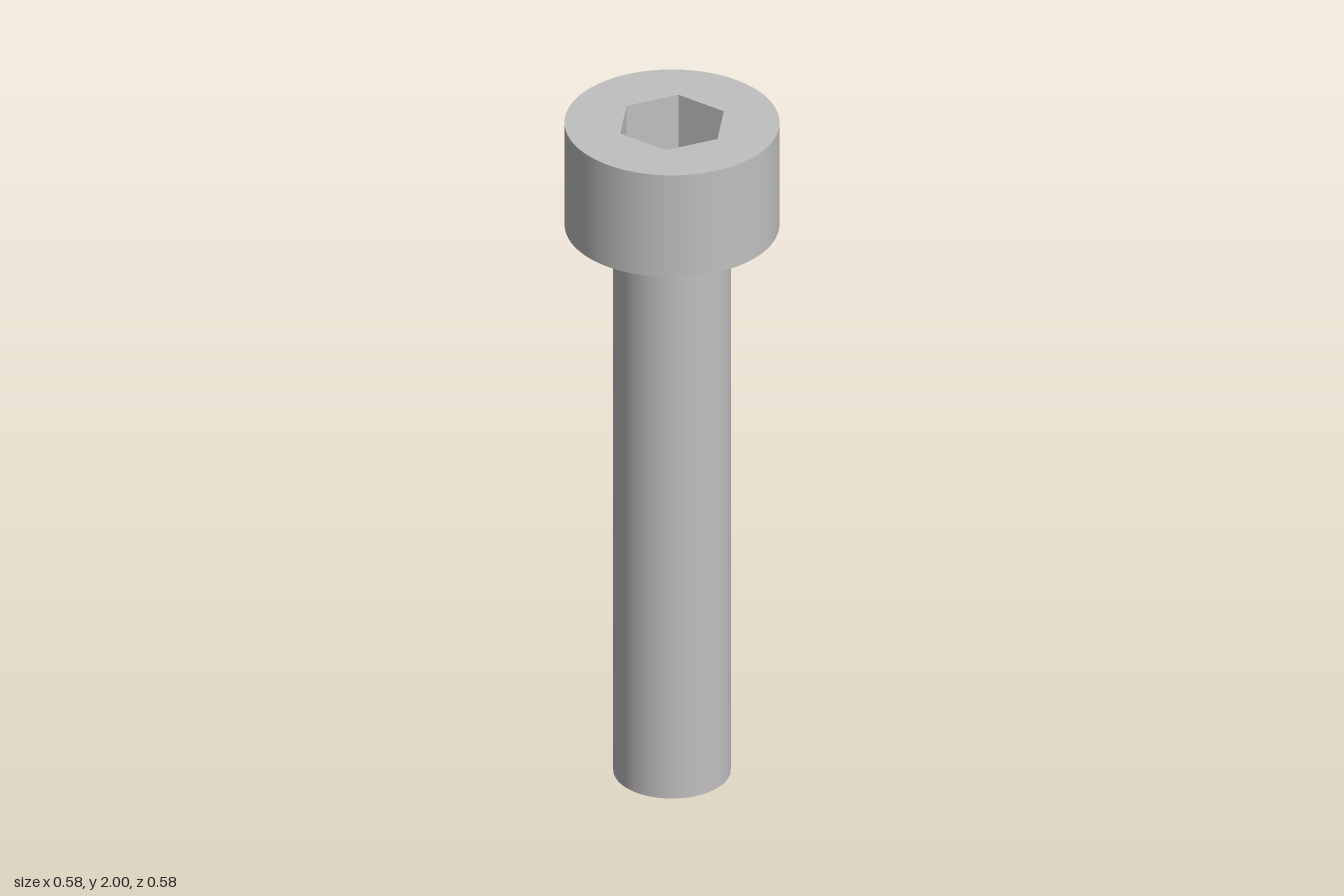
import * as THREE from 'three';

const HEAD_R = 0.289, SHANK_R = 0.158, HEX_R = 0.152;
const TOP = 2, HEAD_BASE = 1.685, SOCKET_DEPTH = 0.18, SEGMENTS = 96;

export function createModel() {
  const group = new THREE.Group();
  const steel = new THREE.MeshStandardMaterial({ color: 0xc0c0c0 });
  steel.name = 'steel grey';

  const add = (name, geometry, y) => {
    const mesh = new THREE.Mesh(geometry, steel);
    mesh.name = name;
    mesh.position.y = y;
    group.add(mesh);
  };

  // Plain cylindrical shank
  add('shank', new THREE.CylinderGeometry(SHANK_R, SHANK_R, HEAD_BASE, SEGMENTS), HEAD_BASE / 2);

  // Head: outer wall, underside shoulder and top face with a hexagonal opening
  const headHeight = TOP - HEAD_BASE;
  add('headWall', new THREE.CylinderGeometry(HEAD_R, HEAD_R, headHeight, SEGMENTS, 1, true), HEAD_BASE + headHeight / 2);
  add('headUnderside', new THREE.RingGeometry(SHANK_R, HEAD_R, SEGMENTS).rotateX(Math.PI / 2), HEAD_BASE);

  const face = new THREE.Shape().absarc(0, 0, HEAD_R, 0, Math.PI * 2);
  const corners = Array.from({ length: 6 }, (_, i) => {
    const a = -i * Math.PI / 3;
    return new THREE.Vector2(HEX_R * Math.cos(a), HEX_R * Math.sin(a));
  });
  face.holes.push(new THREE.Path(corners).closePath());
  add('headTop', new THREE.ShapeGeometry(face, SEGMENTS).rotateX(-Math.PI / 2), TOP);

  // Hex socket: inward-facing flat walls and floor
  const walls = new THREE.CylinderGeometry(HEX_R, HEX_R, SOCKET_DEPTH, 6, 1, true, Math.PI / 2)
    .scale(-1, 1, 1).toNonIndexed();
  walls.computeVertexNormals();
  add('socketWalls', walls, TOP - SOCKET_DEPTH / 2);
  add('socketFloor', new THREE.CircleGeometry(HEX_R, 6).rotateX(-Math.PI / 2), TOP - SOCKET_DEPTH);

  return group;
}
